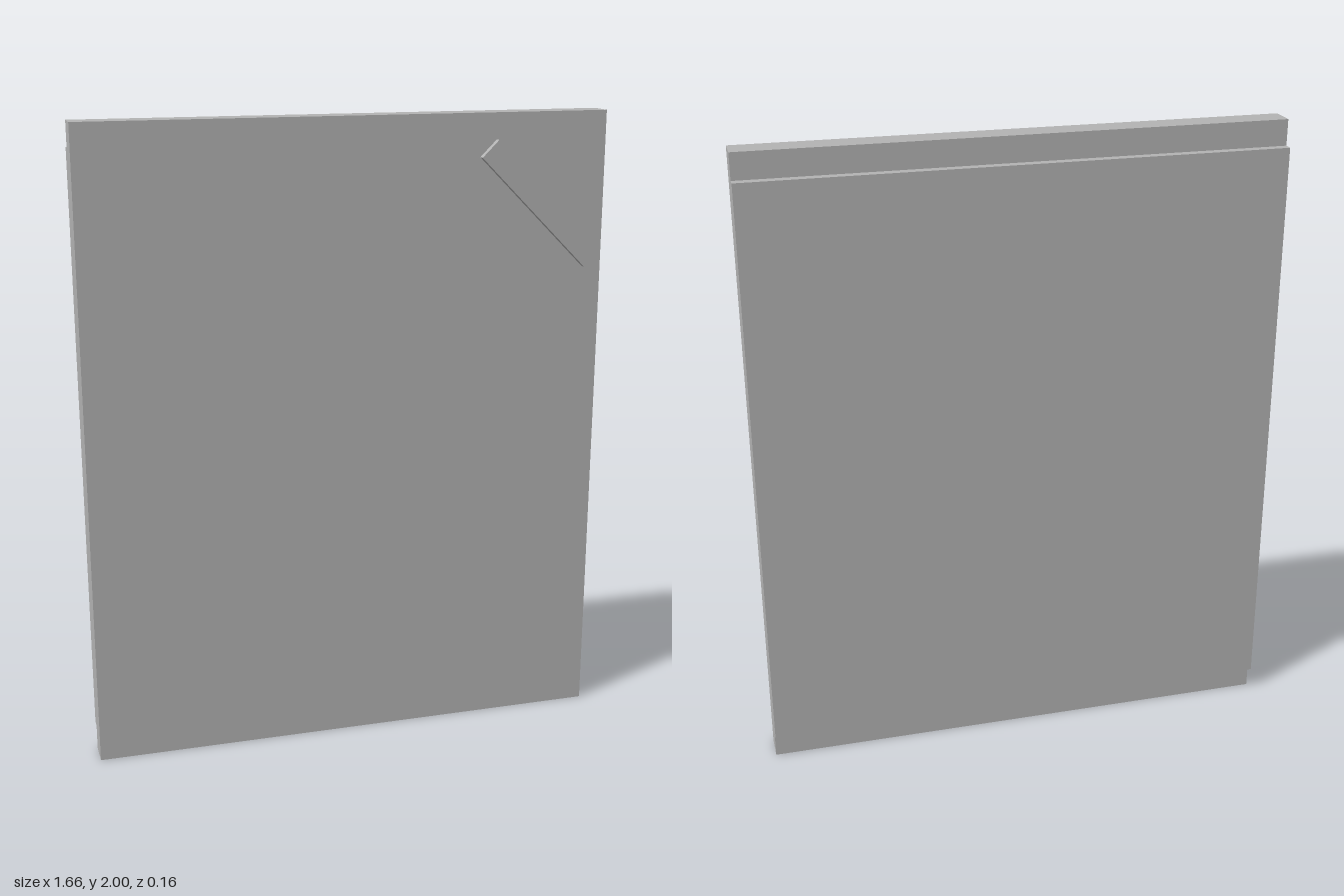
import * as THREE from 'three';

export function createModel() {
  const model = new THREE.Group();
  const grey = new THREE.MeshStandardMaterial({ color: 0xb3b3b3 });
  grey.name = 'grey';

  const addBox = (name, size, position, tilt = 0) => {
    const mesh = new THREE.Mesh(new THREE.BoxGeometry(...size), grey);
    mesh.name = name;
    mesh.position.set(...position);
    mesh.rotation.z = tilt;
    model.add(mesh);
  };

  // Door panel with a shorter, full-width panel on its back
  addBox('doorPanel', [1.656, 2, 0.084], [0, 1, -0.008]);
  addBox('backPanel', [1.656, 1.84, 0.028], [0, 1, -0.064]);

  // Slanted handle bar floating just off the front face
  addBox('handle', [0.495, 0.074, 0.021], [0.605, 1.72, 0.0675], -Math.PI / 4);

  return model;
}
